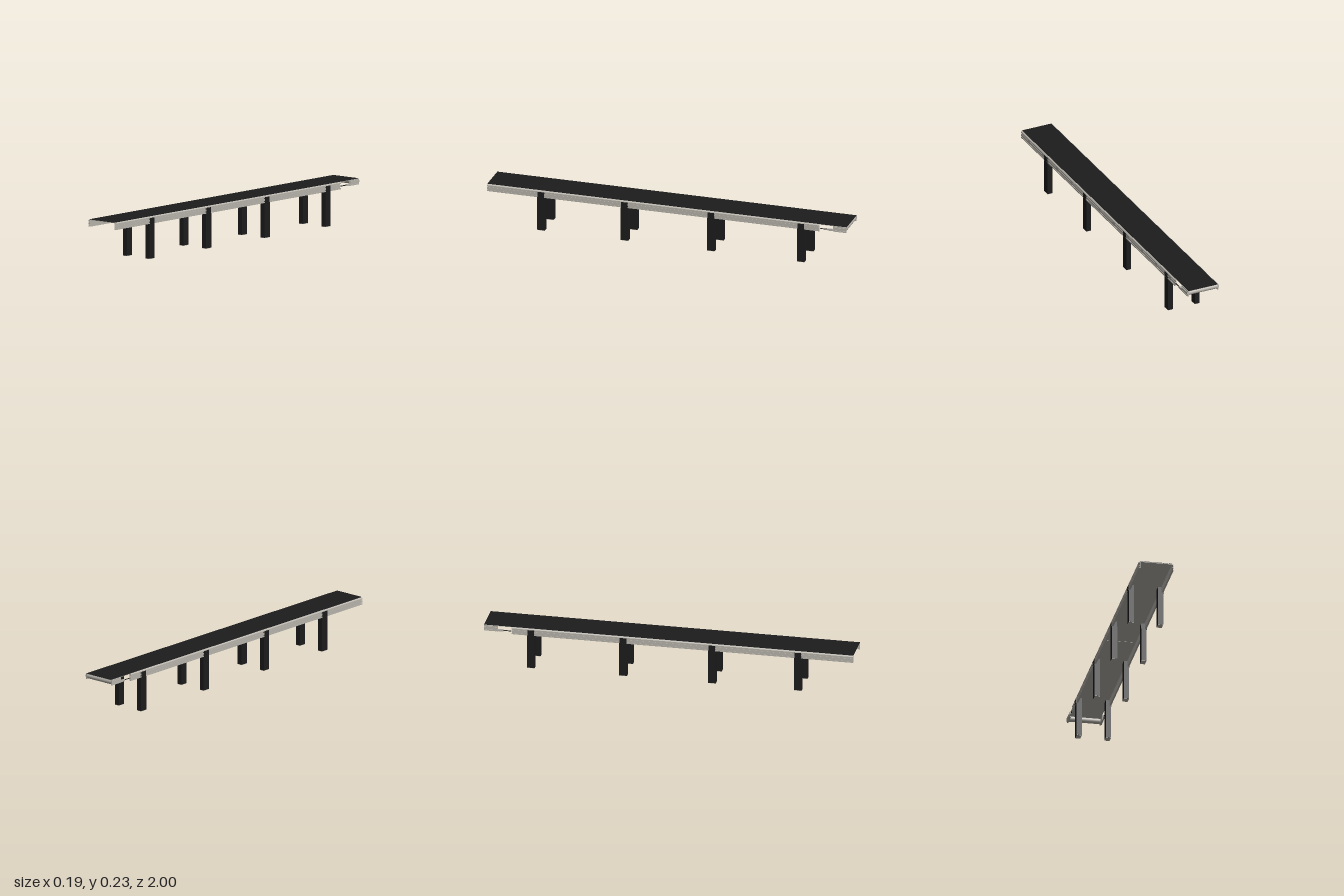
import * as THREE from 'three';

const steel = new THREE.MeshStandardMaterial({ color: 0xb8b4ac, side: THREE.DoubleSide });
const black = new THREE.MeshStandardMaterial({ color: 0x1c1c1c });

function add(parent, name, geometry, material, x, y, z) {
  const mesh = new THREE.Mesh(geometry, material);
  mesh.name = name;
  mesh.position.set(x, y, z);
  parent.add(mesh);
  return mesh;
}

const box = (parent, name, material, [w, h, d], [x, y, z]) =>
  add(parent, name, new THREE.BoxGeometry(w, h, d), material, x, y, z);

// Slotted rail section, open to the outside, extruded along z
function railGeometry(side, length) {
  const points = [
    [0.085, 0.189], [0.094, 0.189], [0.094, 0.196], [0.0925, 0.196], [0.0925, 0.191],
    [0.087, 0.191], [0.087, 0.204], [0.0925, 0.204], [0.0925, 0.201], [0.094, 0.201],
    [0.094, 0.212], [0.0925, 0.212], [0.0925, 0.206], [0.087, 0.206], [0.087, 0.221],
    [0.0925, 0.221], [0.0925, 0.217], [0.094, 0.217], [0.094, 0.223],
    [0.089, 0.228], [0.085, 0.228],
  ].map(([x, y]) => new THREE.Vector2(x * side, y));
  return new THREE.ExtrudeGeometry(new THREE.Shape(points), { depth: length, bevelEnabled: false });
}

export function createModel() {
  const model = new THREE.Group();
  model.name = 'conveyor';

  // Flat belt on a thin slider bed made of two sheets
  box(model, 'belt', black, [0.172, 0.002, 2], [0, 0.229, 0]);
  for (const z of [-0.5, 0.5]) {
    box(model, 'sliderBed', steel, [0.17, 0.003, 0.998], [0, 0.2265, z]);
  }

  // End roller
  const roller = new THREE.CylinderGeometry(0.0145, 0.0145, 0.17, 32);
  roller.rotateZ(Math.PI / 2);
  add(model, 'endRoller', roller, steel, 0, 0.2135, -0.9855);

  for (const side of [1, -1]) {
    // Long side rail
    add(model, 'sideRail', railGeometry(side, 1.85), steel, 0, 0, -0.85);

    // Separate roller carrier with its tensioning tongue
    box(model, 'rollerBearingPlate', steel, [0.006, 0.031, 0.075], [side * 0.088, 0.2125, -0.9625]);
    box(model, 'bearingCover', steel, [0.004, 0.012, 0.07], [side * 0.0925, 0.215, -0.965]);
    box(model, 'bearingFoot', steel, [0.004, 0.006, 0.06], [side * 0.0925, 0.201, -0.965]);
    box(model, 'tensionTongue', steel, [0.007, 0.011, 0.04], [side * 0.0905, 0.205, -0.915]);
    const screw = new THREE.CylinderGeometry(0.0025, 0.0025, 0.08, 10);
    screw.rotateX(Math.PI / 2);
    add(model, 'tensionScrew', screw, black, side * 0.0895, 0.205, -0.895);

    // Legs, each clamped around the rail and bolted through it
    for (const z of [0.7, 0.235, -0.246, -0.746]) {
      const leg = new THREE.Group();
      leg.name = 'leg';
      leg.position.set(side * 0.079, 0, z);
      model.add(leg);
      box(leg, 'post', black, [0.028, 0.187, 0.042], [0, 0.0955, 0]);
      box(leg, 'footPlate', steel, [0.027, 0.002, 0.041], [0, 0.001, 0]);
      box(leg, 'innerClamp', black, [0.02, 0.031, 0.036], [-side * 0.004, 0.2045, 0]);
      box(leg, 'outerClamp', black, [0.0085, 0.031, 0.036], [side * 0.0115, 0.2045, 0]);
      for (const y of [0.192, 0.21]) {
        for (const dz of [-0.01, 0.01]) {
          const bolt = new THREE.CylinderGeometry(0.0035, 0.0035, 0.004, 12);
          bolt.rotateZ(Math.PI / 2);
          add(leg, 'bolt', bolt, black, side * 0.0165, y, dz);
        }
      }
    }
  }
  return model;
}
